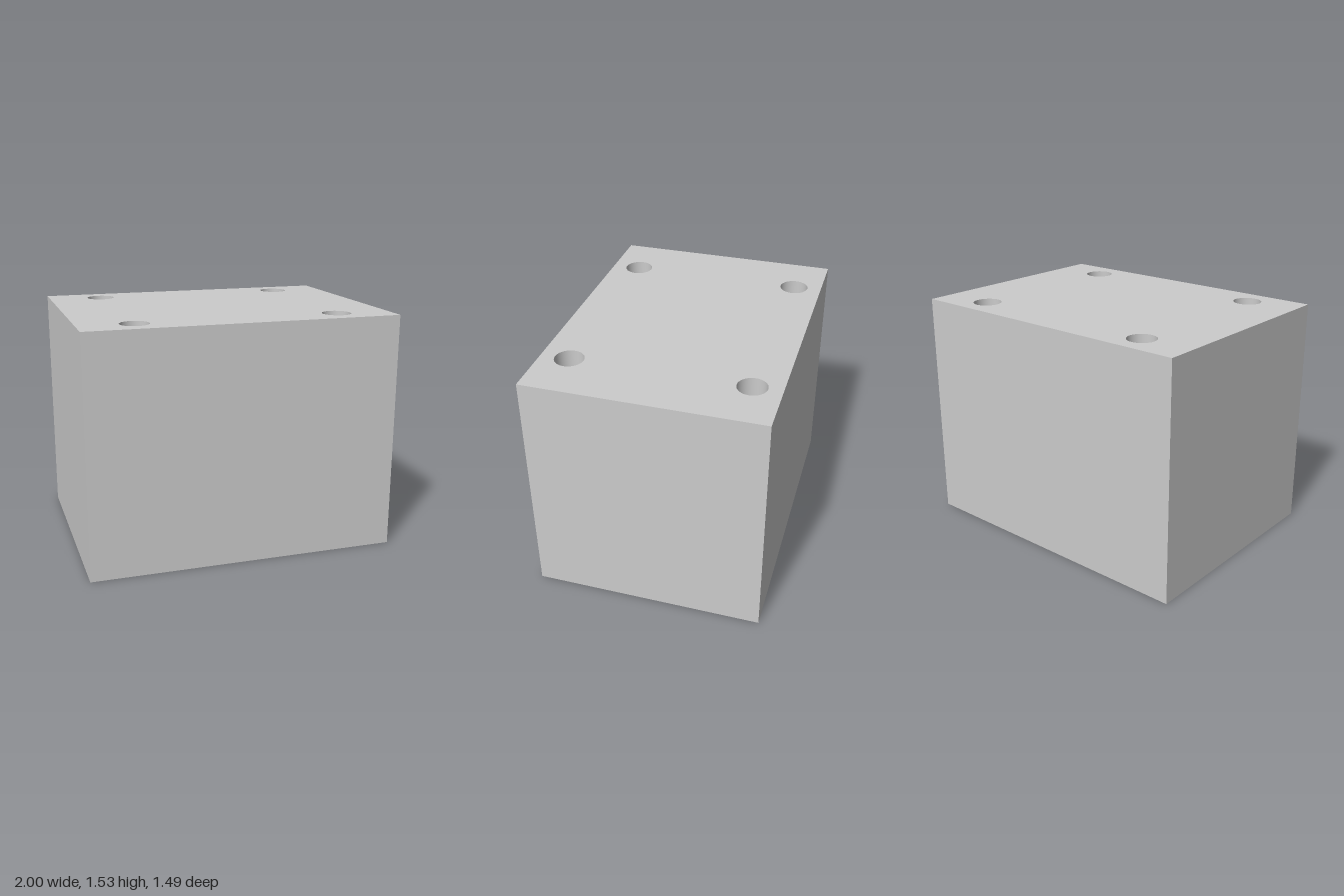
import * as THREE from 'three';
import { toCreasedNormals } from 'three/addons/utils/BufferGeometryUtils.js';

const W = 2, H = 1.535, D = 1.485;           // block size
const HOLE_R = 0.092, HOLE_DEPTH = 0.6;      // blind holes
const HOLE_X = 0.65, HOLE_Z = 0.56;

export function createModel() {
  const group = new THREE.Group();
  const material = new THREE.MeshStandardMaterial({ color: 0xcccccc });
  const add = (name, geometry) => {
    const mesh = new THREE.Mesh(geometry, material);
    mesh.name = name;
    group.add(mesh);
    return mesh;
  };
  const centres = [-1, 1].flatMap(sx => [-1, 1].map(sz => [sx * HOLE_X, sz * HOLE_Z]));

  // Four sides and the underside: a box with its top face left out
  const box = new THREE.BoxGeometry(W, H, D);
  const index = Array.from(box.index.array);
  index.splice(12, 6);
  box.setIndex(index);
  box.clearGroups();
  add('blockBody', box).position.y = H / 2;

  // Top face pierced by the four holes
  const top = new THREE.Shape([
    new THREE.Vector2(-W / 2, -D / 2), new THREE.Vector2(W / 2, -D / 2),
    new THREE.Vector2(W / 2, D / 2), new THREE.Vector2(-W / 2, D / 2),
  ]);
  for (const [x, z] of centres) {
    top.holes.push(new THREE.Path().absarc(x, z, HOLE_R, 0, Math.PI * 2, true));
  }
  const topFace = add('topFace', new THREE.ShapeGeometry(top, 24));
  topFace.rotation.x = -Math.PI / 2;
  topFace.position.y = H;

  // Hole walls and flat floors, turned from rim to centre so they face inward
  const profile = [[HOLE_R, 0], [HOLE_R, -HOLE_DEPTH], [0, -HOLE_DEPTH]]
    .map(([r, y]) => new THREE.Vector2(r, y));
  const hole = toCreasedNormals(new THREE.LatheGeometry(profile, 48), Math.PI / 6);
  for (const [x, z] of centres) add('blindHole', hole).position.set(x, H, z);

  return group;
}
